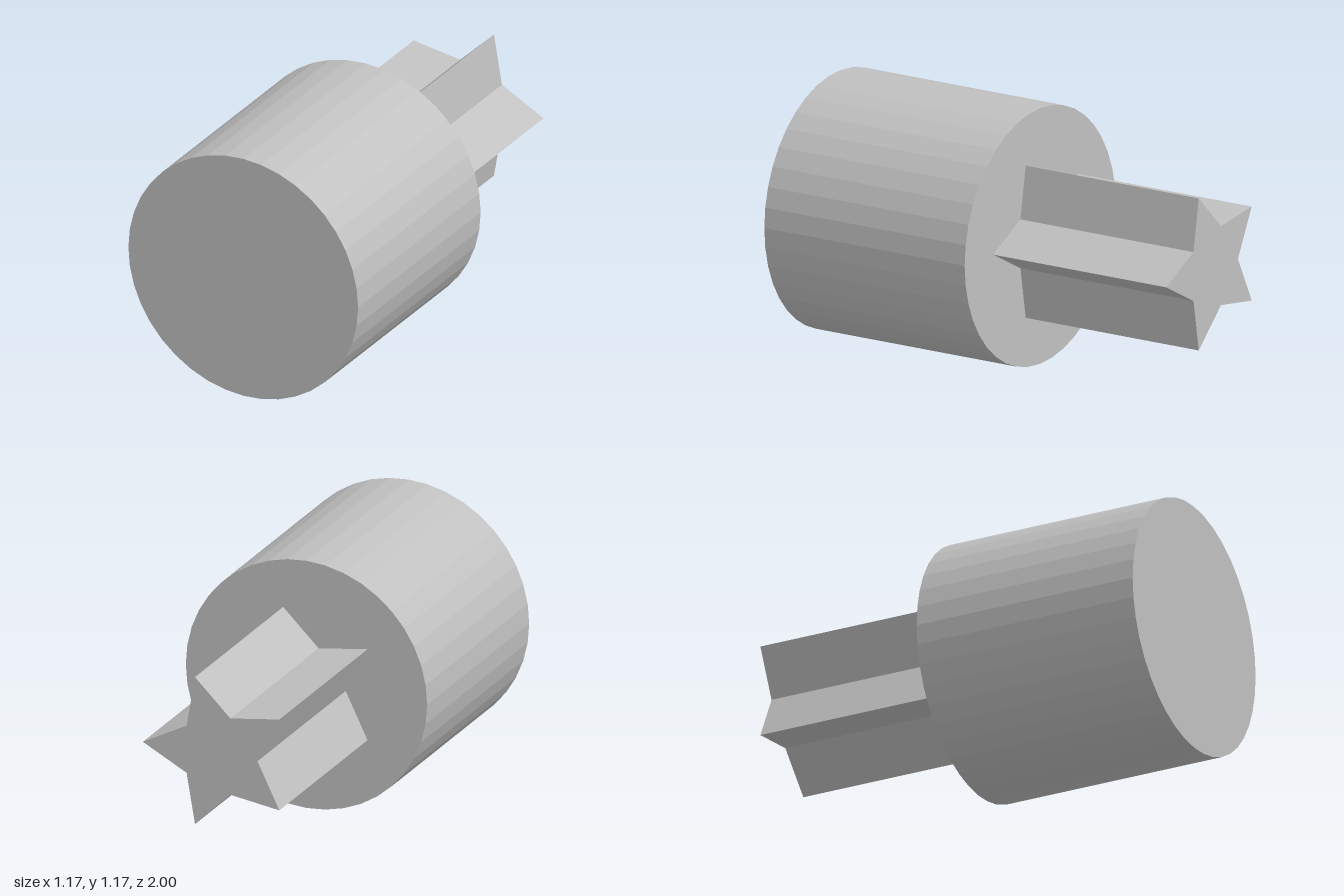
import * as THREE from 'three';

const RADIUS = 0.585;     // drum radius, also the height of the shared axis
const JOINT_Z = -0.073;   // plane where drum and star shaft meet

export function createModel() {
  const model = new THREE.Group();
  const grey = new THREE.MeshStandardMaterial({ color: 0xc0c0c0 });
  grey.name = 'plain grey';

  // Faceted drum lying along z
  const length = 1 - JOINT_Z;
  const drumGeometry = new THREE.CylinderGeometry(RADIUS, RADIUS, length, 40)
    .rotateX(Math.PI / 2)
    .toNonIndexed();
  drumGeometry.computeVertexNormals(); // flat facets
  const drum = new THREE.Mesh(drumGeometry, grey);
  drum.name = 'drum';
  drum.position.set(0, RADIUS, JOINT_Z + length / 2);
  model.add(drum);

  // Five-pointed star shaft at the back, one tip towards +x
  const points = [];
  for (let i = 0; i < 10; i++) {
    const r = i % 2 ? 0.19 : 0.366;
    const a = (i * Math.PI) / 5;
    points.push(new THREE.Vector2(r * Math.cos(a), r * Math.sin(a)));
  }
  const shaftGeometry = new THREE.ExtrudeGeometry(new THREE.Shape(points), {
    depth: 1 + JOINT_Z,
    bevelEnabled: false,
  });
  const shaft = new THREE.Mesh(shaftGeometry, grey);
  shaft.name = 'starShaft';
  shaft.position.set(0, RADIUS, -1);
  model.add(shaft);

  return model;
}
